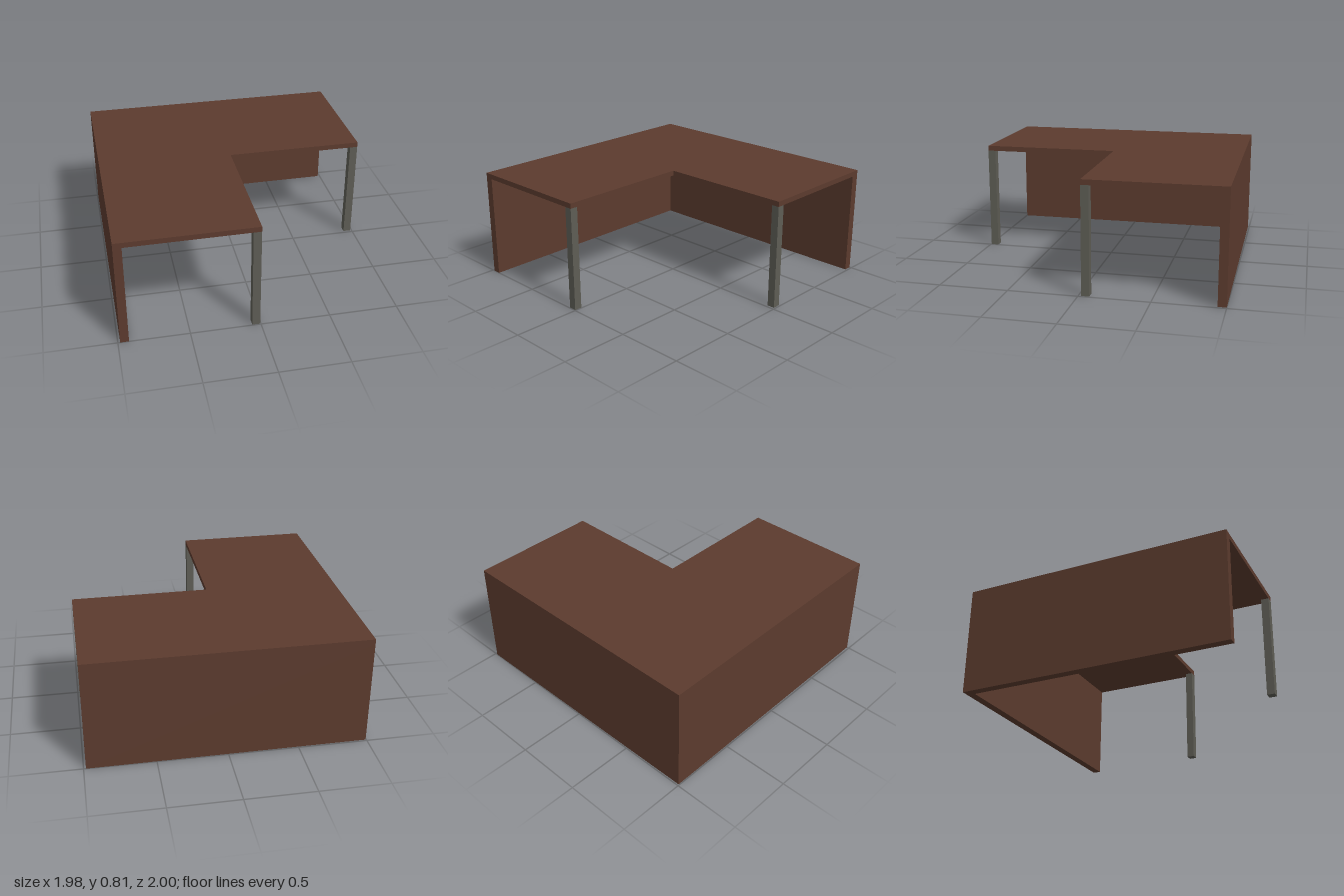
import * as THREE from 'three';

export function createModel() {
  const desk = new THREE.Group();
  desk.name = 'cornerDesk';

  const wood = new THREE.MeshStandardMaterial({ color: 0x5c3b2e });
  wood.name = 'dark brown wood';
  const metal = new THREE.MeshStandardMaterial({ color: 0x5e5d55 });
  metal.name = 'grey metal';

  const hx = 0.989, hz = 0.9945;      // half width and half depth
  const innerX = -0.01, innerZ = -0.015; // inside corner of the L
  const under = 0.77, top = 0.808;    // underside and surface of the worktop
  const board = 0.06, legSize = 0.057;

  // Box from its x and z limits, standing on the floor under the worktop
  function upright(name, x0, x1, z0, z1, material) {
    const mesh = new THREE.Mesh(new THREE.BoxGeometry(x1 - x0, under, z1 - z0), material);
    mesh.position.set((x0 + x1) / 2, under / 2, (z0 + z1) / 2);
    mesh.name = name;
    desk.add(mesh);
  }

  // L-shaped worktop, drawn with y = -z and laid flat
  const outline = new THREE.Shape([
    [-hx, -hz], [innerX, -hz], [innerX, -innerZ],
    [hx, -innerZ], [hx, hz], [-hx, hz],
  ].map(([x, y]) => new THREE.Vector2(x, y)));
  const topGeometry = new THREE.ExtrudeGeometry(outline, { depth: top - under, bevelEnabled: false });
  topGeometry.rotateX(-Math.PI / 2);
  const worktop = new THREE.Mesh(topGeometry, wood);
  worktop.position.y = under;
  worktop.name = 'worktop';
  desk.add(worktop);

  // Solid panels along the back and the right side
  upright('backPanel', -hx, hx, -hz, -hz + board, wood);
  upright('sidePanel', -hx, -hx + board, -hz + board, hz, wood);

  // Square legs at the free corners of the two arms
  upright('frontLeg', innerX - legSize, innerX, hz - legSize, hz, metal);
  upright('sideLeg', hx - legSize, hx, innerZ - legSize, innerZ, metal);

  // The desk stands very slightly turned
  desk.rotation.y = 0.0055;

  const model = new THREE.Group();
  model.name = 'model';
  model.add(desk);
  return model;
}
